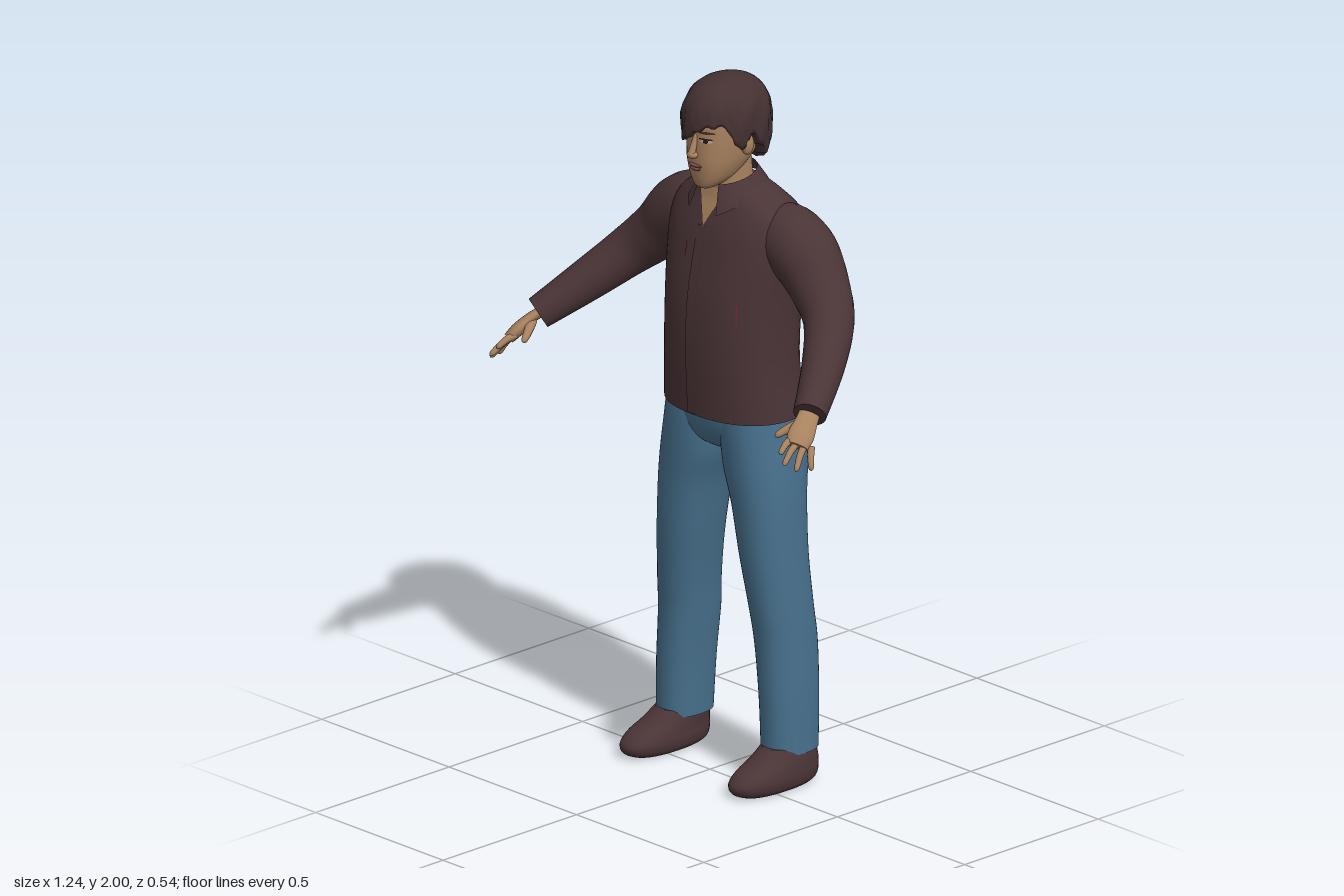
import * as THREE from 'three';

const V = (x, y, z) => new THREE.Vector3(x, y, z);
const mat = (name, color, side = THREE.FrontSide) => {
  const m = new THREE.MeshStandardMaterial({ color, side });
  m.name = name;
  return m;
};

// Closed skin through rings of points, with flat end caps
function skin(rings) {
  const n = rings[0].length, pos = [], idx = [];
  const add = p => pos.push(p.x, p.y, p.z) / 3 - 1;
  rings.forEach(r => r.forEach(add));
  for (let i = 0; i < rings.length - 1; i++) {
    for (let j = 0; j < n; j++) {
      const k = (j + 1) % n, a = i * n, b = a + n;
      idx.push(a + j, a + k, b + k, a + j, b + k, b + j);
    }
  }
  [rings[0], rings[rings.length - 1]].forEach((r, end) => {
    const c = r.reduce((s, p) => s.add(p), V(0, 0, 0)).divideScalar(n);
    const ci = add(c), start = ci + 1;
    r.forEach(add);
    for (let j = 0; j < n; j++) {
      const k = (j + 1) % n;
      if (end) idx.push(ci, start + j, start + k);
      else idx.push(ci, start + k, start + j);
    }
  });
  const g = new THREE.BufferGeometry();
  g.setAttribute('position', new THREE.Float32BufferAttribute(pos, 3));
  g.setIndex(idx);
  g.computeVertexNormals();
  return g;
}

// Smooth in-between rows through the given rows
function smooth(rows, steps = 5) {
  const out = [], at = i => rows[Math.min(Math.max(i, 0), rows.length - 1)];
  for (let i = 0; i < rows.length - 1; i++) {
    for (let s = 0; s < steps; s++) {
      const t = s / steps;
      out.push(rows[i].map((b, k) => {
        const a = at(i - 1)[k], c = at(i + 1)[k], d = at(i + 2)[k];
        return 0.5 * (2 * b + (c - a) * t + (2 * a - 5 * b + 4 * c - d) * t * t + (3 * b - a - 3 * c + d) * t ** 3);
      }));
    }
  }
  out.push(rows[rows.length - 1]);
  return out;
}

// Level cross-sections: each row is [y, centre x, half width, front z, back z]
const E = 2.3;
const bend = v => Math.sign(v) * Math.abs(v) ** (2 / E);
function loft(rows, side = 1, n = 40) {
  return skin(rows.map(([y, cx, rx, zf, zb]) => Array.from({ length: n }, (_, j) => {
    const a = j / n * Math.PI * 2;
    return V(cx * side + rx * bend(Math.sin(a)), y, (zf + zb) / 2 + (zf - zb) / 2 * bend(Math.cos(a)));
  })));
}

// Depth of a loft's surface at x, y; dir 1 is the front and -1 the back
function depth(rows, x, y, dir) {
  let i = rows.findIndex(r => r[0] >= y);
  i = i < 1 ? (i < 0 ? rows.length - 1 : 1) : i;
  const t = (y - rows[i - 1][0]) / (rows[i][0] - rows[i - 1][0]);
  const [, cx, rx, zf, zb] = rows[i].map((v, k) => rows[i - 1][k] + (v - rows[i - 1][k]) * t);
  const q = Math.min(1, Math.abs((x - cx) / rx));
  return (zf + zb) / 2 + dir * (zf - zb) / 2 * (1 - q ** E) ** (1 / E);
}

// Thin plate hugging a loft between y0 and y1; span(v) gives its left and right x
function patch(rows, y0, y1, span, dir = 1, off = 0.004) {
  const g = new THREE.PlaneGeometry(1, 1, 8, 10), p = g.attributes.position;
  for (let i = 0; i < p.count; i++) {
    const v = p.getY(i) + 0.5, [l, r] = span(v), y = y0 + (y1 - y0) * v;
    const x = (l + r) / 2 + (r - l) * p.getX(i) * dir;
    p.setXYZ(i, x, y, depth(rows, x, y, dir) + dir * off);
  }
  g.computeVertexNormals();
  return g;
}

// Limb along a curve: points are [x, y, z, radius]
function limb(points, side = 1, { flat = 1, ref = V(0, 1, 0), round = false, n = 18, steps = 6 } = {}) {
  const rows = smooth(points, steps), c = rows.map(p => V(p[0] * side, p[1], p[2]));
  return skin(rows.map((p, i) => {
    const T = c[Math.min(i + 1, c.length - 1)].clone().sub(c[Math.max(i - 1, 0)]).normalize();
    const N = ref.clone().cross(T).normalize(), B = T.clone().cross(N);
    const t = i / (rows.length - 1), q = round && t > 0.8 ? Math.sqrt(1.02 - ((t - 0.8) / 0.2) ** 2) : 1;
    return Array.from({ length: n }, (_, j) => {
      const a = j / n * Math.PI * 2;
      return c[i].clone().addScaledVector(N, Math.cos(a) * p[3] * flat * q).addScaledVector(B, Math.sin(a) * p[3] * q);
    });
  }));
}

// Cap of hair with a swept fringe, sideburns and a low nape
function hairGeometry() {
  const edge = smooth([[-180, 1.755], [-140, 1.76], [-110, 1.8], [-90, 1.852], [-72, 1.815], [-52, 1.828], [-25, 1.832],
    [0, 1.858], [25, 1.885], [52, 1.885], [72, 1.815], [90, 1.852], [110, 1.8], [140, 1.76], [180, 1.755]], 6);
  const n = 84, rows = 20, rings = [];
  for (let i = 0; i <= rows + 1; i++) {
    rings.push(Array.from({ length: n }, (_, j) => {
      const deg = j / n * 360 - 180, a = deg * Math.PI / 180;
      const e = edge.reduce((b, r) => Math.abs(r[0] - deg) < Math.abs(b[0] - deg) ? r : b)[1] + 0.005 * Math.sin(a * 17);
      const low = Math.acos(THREE.MathUtils.clamp((e - 1.87) / (e > 1.87 ? 0.13 : 0.18), -1, 1));
      const th = low * Math.max(0.02, Math.min(i, rows) / rows), c = Math.cos(th);
      const r = (1 - Math.abs(c) ** 2.4) ** (1 / 2.4) * (i > rows ? 0.78 : 1);
      const lock = 1 + Math.sin(th) * (0.018 * Math.sin(a * 9 + th * 6) + 0.012 * Math.sin(a * 23 - th * 9));
      return V(0.108 * r * lock * Math.sin(a) - 0.003, 1.87 + c * (c > 0 ? 0.13 : 0.18), -0.065 + 0.137 * r * lock * Math.cos(a));
    }));
  }
  return skin(rings.reverse());
}

// Folded collar, open at the throat
function collarGeometry() {
  const g = new THREE.PlaneGeometry(1, 1, 48, 6), p = g.attributes.position;
  for (let i = 0; i < p.count; i++) {
    const a = 0.5 + (p.getX(i) + 0.5) * (Math.PI * 2 - 1), v = 0.5 - p.getY(i);
    const f = (1 + Math.cos(a)) / 2, drop = 0.045 + 0.045 * f ** 4;
    p.setXYZ(i, Math.sin(a) * (0.074 + 0.034 * v), 1.737 - 0.032 * f - drop * v, -0.07 + Math.cos(a) * (0.082 + 0.03 * v));
  }
  g.computeVertexNormals();
  return g;
}

export function createModel() {
  const model = new THREE.Group();
  model.name = 'standingMan';
  const shirt = mat('shirtBrown', 0x4a3436), hair = mat('hairBrown', 0x453132), shoe = mat('shoeBrown', 0x4a3436);
  const jeans = mat('jeansBlue', 0x47708c), flesh = mat('skinTan', 0xa8825f), lip = mat('lipRose', 0x7d4a45);
  const dark = mat('eyeDark', 0x241a1a), white = mat('eyeWhite', 0xb9a698), red = mat('streakRed', 0x7a2636);
  const collarCloth = mat('collarBrown', 0x4a3436, THREE.DoubleSide);
  const add = (name, geo, m, parent = model) => {
    const mesh = new THREE.Mesh(geo, m);
    mesh.name = name;
    parent.add(mesh);
    return mesh;
  };
  const ball = (name, m, x, y, z, sx, sy, sz) => {
    const b = add(name, new THREE.SphereGeometry(1, 20, 14), m);
    b.position.set(x, y, z);
    b.scale.set(sx, sy, sz);
    return b;
  };

  // Shirt body with placket, throat opening and collar
  const body = smooth([[1.045, 0, 0.214, 0.062, -0.268], [1.12, 0, 0.205, 0.066, -0.243], [1.2, 0, 0.199, 0.07, -0.235],
    [1.3, 0, 0.198, 0.07, -0.24], [1.4, 0, 0.203, 0.062, -0.248], [1.5, 0, 0.214, 0.043, -0.249], [1.57, 0, 0.213, 0.027, -0.246],
    [1.62, 0, 0.197, 0.01, -0.232], [1.66, 0, 0.155, -0.004, -0.2], [1.69, 0, 0.1, -0.01, -0.172], [1.705, 0, 0.07, -0.02, -0.15]]);
  add('shirtBody', loft(body, 1, 48), shirt);
  add('placket', patch(body, 1.05, 1.585, () => [-0.02, 0.012], 1, 0.003), shirt);
  add('throat', patch(body, 1.582, 1.69, v => [-0.052 * v, 0.052 * v]), flesh);
  add('collar', collarGeometry(), collarCloth);

  // Red streaks in the cloth
  [[-0.06, 1.38, 1.48], [-0.035, 1.27, 1.37], [-0.01, 1.3, 1.36], [0.015, 1.26, 1.37], [0.04, 1.31, 1.36], [0.075, 1.42, 1.46],
    [0.1, 1.34, 1.48], [-0.1, 1.36, 1.4]].forEach(([x, a, b]) =>
    add('backStreak', patch(body, a, b, () => [x - 0.002, x + 0.002], -1, 0.003), red));
  [[-0.17, 1.36, 1.43], [-0.05, 1.49, 1.53], [0.14, 1.33, 1.39]].forEach(([x, a, b]) =>
    add('frontStreak', patch(body, a, b, () => [x - 0.0015, x + 0.0015], 1, 0.003), red));

  // Hips
  add('hips', loft(smooth([[0.925, 0, 0.05, -0.04, -0.16], [0.95, 0, 0.15, 0, -0.2], [1, 0, 0.206, 0.026, -0.243],
    [1.08, 0, 0.2, 0.035, -0.225]])), jeans);

  for (const s of [1, -1]) {
    const side = s > 0 ? 'left' : 'right';
    // Trouser leg and shoe
    add(side + 'Leg', loft(smooth([[0.095, 0.206, 0.064, -0.018, -0.186], [0.25, 0.201, 0.067, -0.016, -0.192],
      [0.4, 0.189, 0.071, -0.013, -0.196], [0.5, 0.18, 0.074, -0.003, -0.188], [0.65, 0.162, 0.082, 0.012, -0.182],
      [0.8, 0.143, 0.092, 0.02, -0.19], [0.9, 0.122, 0.104, 0.025, -0.21], [1, 0.108, 0.104, 0.028, -0.245],
      [1.06, 0.105, 0.098, 0.025, -0.23]]), s), jeans);
    add(side + 'Shoe', loft(smooth([[0, 0.213, 0.05, 0.085, -0.165], [0.012, 0.213, 0.062, 0.11, -0.18],
      [0.035, 0.213, 0.067, 0.117, -0.186], [0.06, 0.213, 0.064, 0.092, -0.186], [0.085, 0.211, 0.06, 0.035, -0.182],
      [0.115, 0.208, 0.054, -0.012, -0.175]], 4), s), shoe);

    // Sleeve
    add(side + 'Sleeve', limb([[0.11, 1.575, -0.12, 0.07], [0.17, 1.563, -0.125, 0.093], [0.24, 1.525, -0.125, 0.096],
      [0.31, 1.455, -0.115, 0.083], [0.385, 1.385, -0.078, 0.07], [0.46, 1.3, 0.015, 0.059], [0.533, 1.212, 0.135, 0.046]],
    s, { n: 28 }), shirt);

    // Hand: palm, four fingers and thumb
    const hand = new THREE.Group();
    hand.name = side + 'Hand';
    model.add(hand);
    const across = V(0.045 * s, -0.025, -0.035);
    add('palm', limb([[0.52, 1.225, 0.115, 0.029], [0.542, 1.2, 0.155, 0.031], [0.556, 1.172, 0.19, 0.037], [0.566, 1.15, 0.214, 0.031]],
      s, { flat: 0.5, ref: across }), flesh, hand);
    const tips = [[0.556, 1.138, 0.268], [0.577, 1.112, 0.274], [0.6, 1.095, 0.25], [0.614, 1.09, 0.206]];
    tips.forEach(([x, y, z], i) => {
      const k = i / 3, bx = 0.542 + 0.044 * k, by = 1.166 - 0.022 * k, bz = 0.21 - 0.03 * k;
      add('finger', limb([[bx, by, bz, 0.0105], [(bx + x) / 2, (by + y) / 2 + 0.005, (bz + z) / 2 + 0.002, 0.0095], [x, y, z, 0.0075]],
        s, { ref: across, round: true, n: 10 }), flesh, hand);
    });
    add('thumb', limb([[0.532, 1.195, 0.16, 0.015], [0.51, 1.18, 0.195, 0.0125], [0.494, 1.162, 0.228, 0.008]],
      s, { round: true, n: 10 }), flesh, hand);
    ball(side + 'Ear', flesh, 0.09 * s, 1.825, -0.055, 0.014, 0.031, 0.02);
  }

  // Neck and head
  add('neck', loft([[1.6, 0, 0.062, -0.02, -0.15], [1.68, 0, 0.058, -0.008, -0.14], [1.79, 0, 0.058, 0.005, -0.13]]), flesh);
  const head = smooth([[1.697, 0, 0.018, 0.034, 0], [1.706, 0, 0.034, 0.044, -0.03], [1.73, 0, 0.055, 0.051, -0.08],
    [1.765, 0, 0.071, 0.056, -0.12], [1.8, 0, 0.08, 0.057, -0.15], [1.85, 0, 0.086, 0.055, -0.17],
    [1.9, 0, 0.085, 0.05, -0.175], [1.95, 0, 0.065, 0.02, -0.14], [1.975, 0, 0.03, -0.03, -0.1]]);
  add('head', loft(head), flesh);
  add('hair', hairGeometry(), hair);

  // Face: nose, lips, eyes and brows
  add('noseBridge', limb([[0, 1.855, 0.05, 0.007], [0, 1.825, 0.062, 0.009], [0, 1.802, 0.069, 0.012]], 1, { ref: V(1, 0, 0) }), flesh);
  ball('noseTip', flesh, 0, 1.801, 0.066, 0.017, 0.011, 0.014);
  ball('upperLip', lip, 0, 1.768, 0.055, 0.024, 0.005, 0.009);
  ball('lowerLip', lip, 0, 1.759, 0.054, 0.019, 0.006, 0.009);
  const arc = (x, w) => v => [x - w * Math.sqrt(1 - (2 * v - 1) ** 2), x + w * Math.sqrt(1 - (2 * v - 1) ** 2)];
  for (const x of [-0.036, 0.036]) {
    add('eyeWhite', patch(head, 1.838, 1.85, arc(x, 0.016), 1, 0.002), white);
    add('iris', patch(head, 1.838, 1.85, arc(x, 0.007), 1, 0.003), dark);
    add('eyelid', patch(head, 1.848, 1.853, arc(x, 0.019), 1, 0.004), dark);
    add('brow', patch(head, 1.864, 1.872, arc(x, 0.023), 1, 0.003), hair);
  }
  return model;
}
